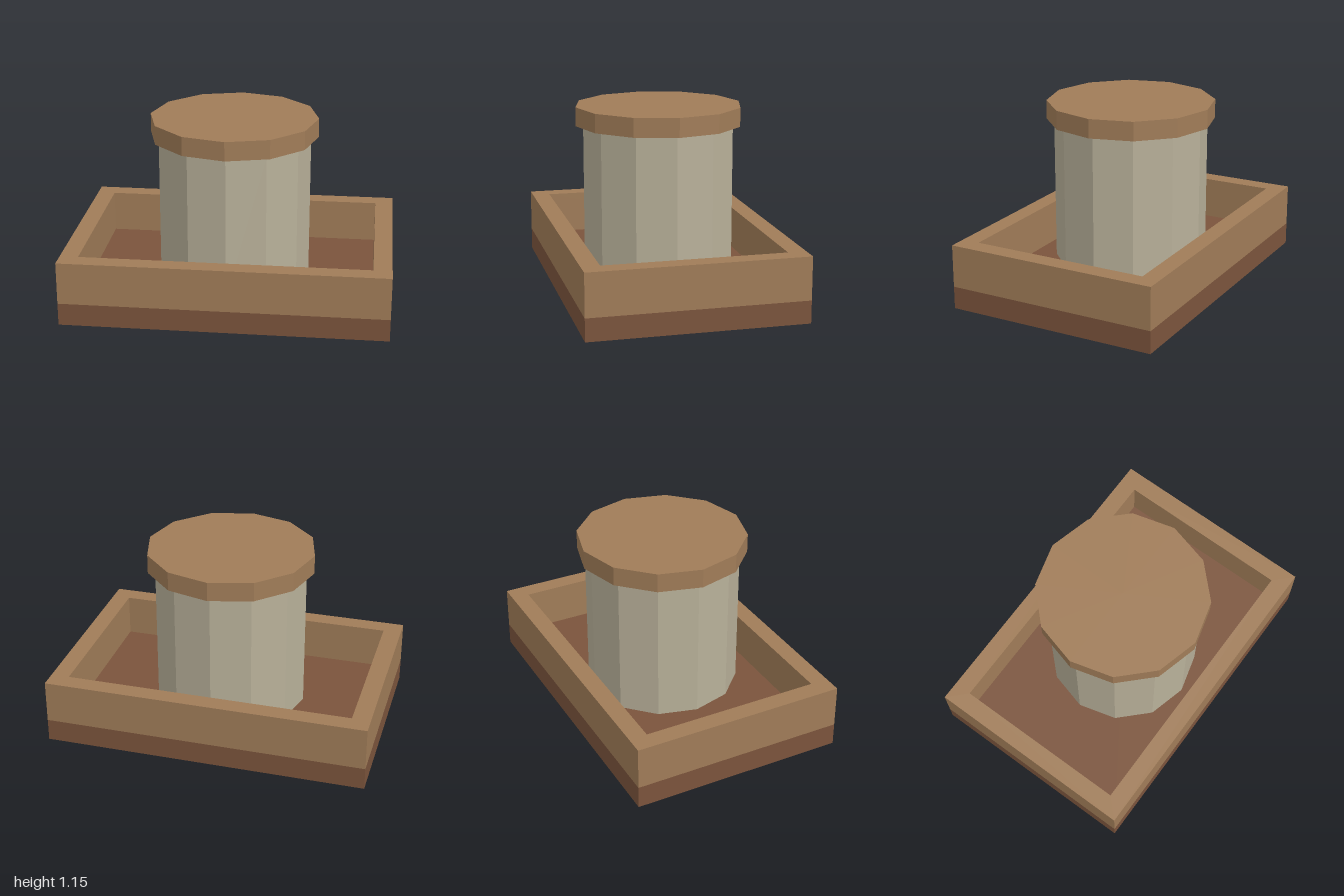
import * as THREE from 'three';

const material = (name, color) => {
  const m = new THREE.MeshStandardMaterial({ color, flatShading: true });
  m.name = name;
  return m;
};

export function createModel() {
  const wood = material('light wood', 0xa07c58);
  const darkWood = material('dark wood', 0x7b543c);
  const stone = material('pale stone', 0xb8b099);

  const model = new THREE.Group();
  model.name = 'pedestalTray';
  const add = (name, geometry, mat, y) => {
    const mesh = new THREE.Mesh(geometry, mat);
    mesh.name = name;
    mesh.position.y = y;
    model.add(mesh);
    return mesh;
  };

  const floorY = 0.14, rimY = 0.405, halfX = 1, halfZ = 0.667;

  // Solid slab that forms the tray floor
  add('base', new THREE.BoxGeometry(halfX * 2, floorY, halfZ * 2), darkWood, floorY / 2);

  // Rectangular rim with an open centre
  const rectangle = (path, x, z) =>
    path.moveTo(-x, -z).lineTo(x, -z).lineTo(x, z).lineTo(-x, z).closePath();
  const outline = new THREE.Shape();
  rectangle(outline, halfX, halfZ);
  const opening = new THREE.Path();
  rectangle(opening, 0.887, 0.555);
  outline.holes.push(opening);
  const rim = new THREE.ExtrudeGeometry(outline, { depth: rimY - floorY, bevelEnabled: false });
  rim.rotateX(-Math.PI / 2);
  add('rim', rim, wood, floorY);

  // Twelve-sided post and its wider cap
  const postTop = 1.037, capTop = 1.155;
  const drum = (radius, height) => new THREE.CylinderGeometry(radius, radius, height, 12);
  add('post', drum(0.476, postTop - floorY), stone, (postTop + floorY) / 2);
  add('cap', drum(0.522, capTop - postTop), wood, (capTop + postTop) / 2);

  return model;
}
